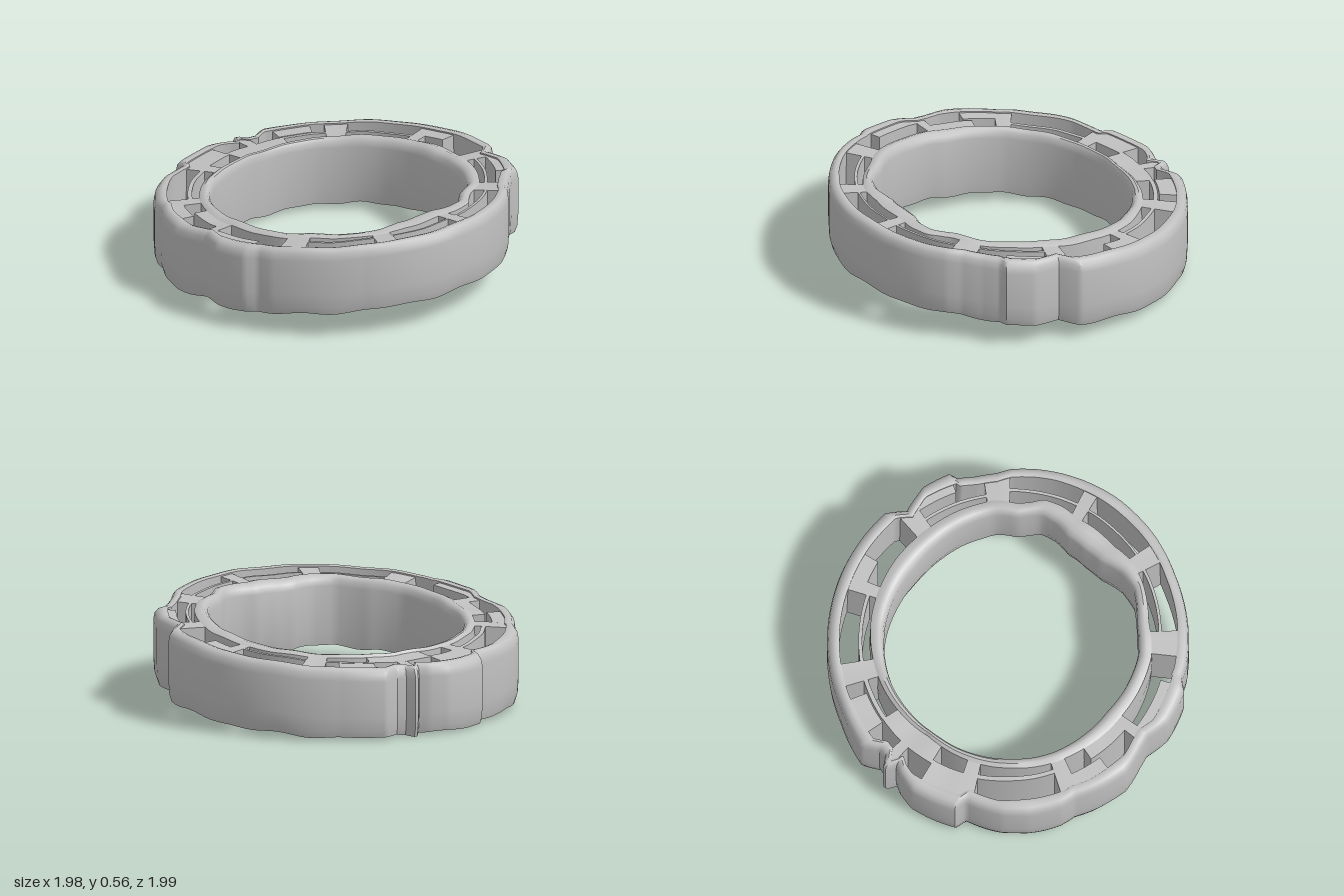
import * as THREE from 'three';
import { toCreasedNormals } from 'three/addons/utils/BufferGeometryUtils.js';

// Angles are in degrees, measured from the front (+z) towards +x.
const OUTER = [[0, 0.995], [15, 0.99], [30, 0.98], [38, 0.97], [43, 0.95], [50, 0.95], [56, 0.965],
  [58, 1.005], [67, 0.995], [71, 0.965], [76, 0.93], [79, 0.965], [82, 1.0], [90, 1.0], [105, 1.0], [120, 0.995],
  [135, 0.99], [150, 0.985], [165, 1.0], [170, 0.935], [173, 0.94], [175.5, 1.0], [178, 0.935],
  [181, 0.965], [187, 1.0], [195, 1.0], [202, 1.0], [204.5, 0.945], [210, 0.965], [217, 0.99], [225, 1.0],
  [236, 0.995], [241, 0.975], [250, 0.99], [259, 1.0], [268, 0.96], [272, 0.95], [280, 1.0],
  [291, 1.01], [295, 0.98], [300, 0.99], [315, 0.985], [330, 0.98], [345, 0.99], [360, 0.995]];
const INNER = [[0, 0.655], [10, 0.665], [17, 0.705], [25, 0.73], [35, 0.695], [45, 0.715], [60, 0.695],
  [75, 0.675], [90, 0.665], [120, 0.68], [150, 0.68], [180, 0.665], [210, 0.675], [240, 0.69],
  [270, 0.68], [300, 0.715], [315, 0.705], [330, 0.735], [340, 0.715], [350, 0.665], [360, 0.655]];
const INNER_THICKNESS = [[0, 0.125], [12, 0.11], [30, 0.07], [50, 0.08], [90, 0.11], [115, 0.09],
  [150, 0.06], [180, 0.04], [210, 0.06], [245, 0.07], [270, 0.09], [300, 0.08], [330, 0.06], [348, 0.11], [360, 0.125]];

const lookup = (table) => (deg) => {
  const a = ((deg % 360) + 360) % 360;
  const i = Math.max(1, table.findIndex((p) => p[0] >= a));
  const [a0, v0] = table[i - 1], [a1, v1] = table[i];
  return v0 + (v1 - v0) * (a - a0) / (a1 - a0);
};
const outerR = lookup(OUTER), innerR = lookup(INNER), innerT = lookup(INNER_THICKNESS);

// The whole ring leans: higher at the front than at the back.
const topY = (z) => 0.474 + 0.088 * z;
const bottomY = (z) => 0.073 + 0.088 * z + 0.015 * z * z;
const wave = (t) => 0.005 * Math.sin(t * 12) + 0.004 * Math.sin(t * 20);

// Cross-sections: [fraction from inside to outside, fraction of height]
const OUTER_WALL = [[0.1, 0.03], [0.75, 0], [0.93, 0.1], [1, 0.3], [1, 0.82], [0.9, 0.92], [0.65, 0.975], [0.3, 0.995], [0, 0.98]];
const INNER_WALL = [[0.15, 0], [0.9, 0.04], [1, 0.5], [0.95, 0.96], [0.6, 0.995], [0.3, 0.985], [0.08, 0.94], [0, 0.85], [0, 0.2]];
const PLAIN = [[0, 0.04], [1, 0.04], [1, 0.96], [0, 0.96]];

// Sweep a cross-section round an arc between two radius rules.
function sweep(from, to, steps, rIn, rOut, section) {
  const closed = to - from === 360, n = section.length;
  const pos = [], index = [];
  for (let i = 0; i <= steps; i++) {
    const deg = from + (to - from) * i / steps, t = deg * Math.PI / 180;
    const a = rIn(deg), b = rOut(deg);
    for (const [u, v] of section) {
      const r = a + (b - a) * u, z = r * Math.cos(t);
      const lo = bottomY(z) + wave(t) * (1 - v), hi = topY(z) + wave(t) * 0.4;
      pos.push(r * Math.sin(t), lo + (hi - lo) * v, z);
    }
  }
  for (let i = 0; i < steps; i++) {
    for (let j = 0; j < n; j++) {
      const k = (j + 1) % n, p = i * n, q = p + n;
      index.push(p + j, q + j, q + k, p + j, q + k, p + k);
    }
  }
  if (!closed) {
    const e = steps * n;
    for (let j = 1; j < n - 1; j++) index.push(0, j, j + 1, e, e + j + 1, e + j);
  }
  const g = new THREE.BufferGeometry();
  g.setAttribute('position', new THREE.Float32BufferAttribute(pos, 3));
  g.setIndex(index);
  return toCreasedNormals(g, 0.75);
}

export function createModel() {
  const group = new THREE.Group();
  const grey = new THREE.MeshStandardMaterial({ color: 0xc0c0c0 });
  grey.name = 'plain grey';
  const add = (name, geometry) => {
    const mesh = new THREE.Mesh(geometry, grey);
    mesh.name = name;
    group.add(mesh);
  };
  const outerBack = (d) => Math.min(0.925, outerR(d) - 0.06);
  const innerBack = (d) => innerR(d) + innerT(d);
  const intoOuter = (d) => outerBack(d) + 0.02;
  const intoInner = (d) => innerBack(d) - 0.02;

  // Two concentric walls
  add('outerWall', sweep(0, 360, 360, outerBack, outerR, OUTER_WALL));
  add('innerWall', sweep(0, 360, 180, innerR, innerBack, INNER_WALL));

  // Radial webs joining the walls: [centre angle, width]
  const webs = [[10, 5], [43, 9], [76, 7], [108, 5], [141, 8], [175, 4], [204, 6],
    [240, 6], [271, 4], [306, 9], [339, 7]];
  for (const [centre, width] of webs) {
    add('web', sweep(centre - width / 2, centre + width / 2, 4, intoInner, intoOuter, PLAIN));
  }

  // Thickened stretches of the outer wall: [from, to, inner radius]
  const outerBlocks = [[58, 74, 0.88], [97, 107, 0.84], [150, 163, 0.83], [188, 204, 0.82],
    [242, 255, 0.85], [272, 292, 0.87]];
  for (const [from, to, r] of outerBlocks) {
    add('outerBlock', sweep(from, to, 8, () => r, intoOuter, PLAIN));
  }

  // Thickened stretches of the inner wall: [from, to, outer radius]
  for (const [from, to, r] of [[162, 188, 0.82], [252, 270, 0.83]]) {
    add('innerBlock', sweep(from, to, 8, intoInner, () => r, PLAIN));
  }

  // Thin dividers running between webs in the middle of the channel: [from, to, radius, half thickness]
  const dividers = [[-20, 9, 0.838, 0.006], [12, 41, 0.84, 0.008], [47, 73, 0.82, 0.008],
    [110, 138, 0.81, 0.01], [144, 162, 0.81, 0.012], [188, 202, 0.81, 0.012],
    [206, 238, 0.8, 0.012], [310, 336, 0.83, 0.008]];
  for (const [from, to, r, half] of dividers) {
    add('divider', sweep(from, to, 14, () => r - half, () => r + half, PLAIN));
  }
  return group;
}
